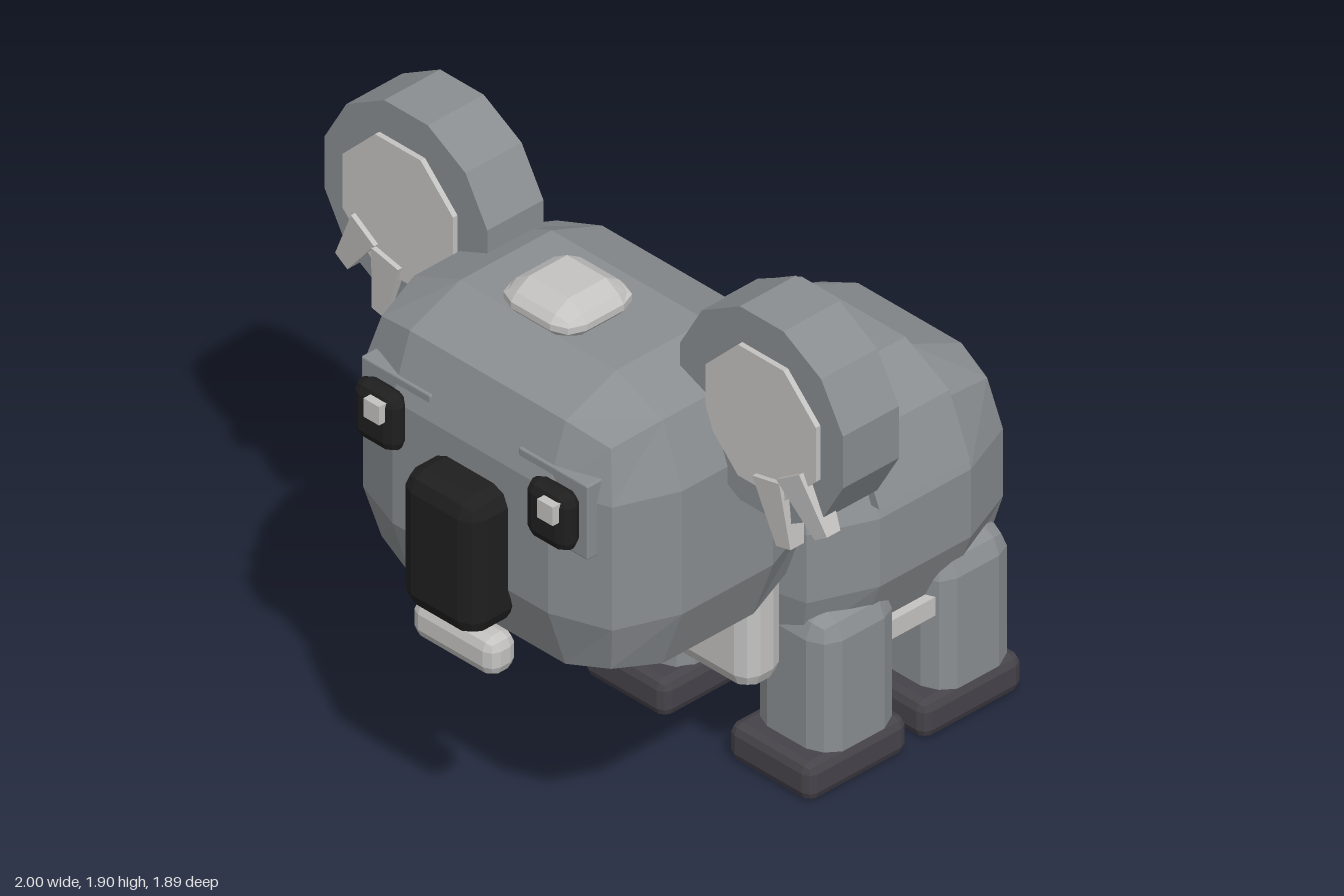
import * as THREE from 'three';

const mat = (name, color) => {
  const m = new THREE.MeshStandardMaterial({ color });
  m.name = name;
  return m;
};

// Faceted shading
function facet(geometry) {
  const g = geometry.index ? geometry.toNonIndexed() : geometry;
  g.computeVertexNormals();
  return g;
}

// Chamfered block: half sizes, half sizes of the flat faces, and inset of edges per axis
function blockGeometry(half, inner, inset) {
  const g = new THREE.BoxGeometry(2, 2, 2, 3, 3, 3);
  const p = g.attributes.position;
  for (let i = 0; i < p.count; i++) {
    const v = [p.getX(i), p.getY(i), p.getZ(i)];
    const outer = v.filter(c => Math.abs(c) > 0.9).length;
    const k = [0, 0, 1, 1.5][outer];
    const q = v.map((c, a) => Math.sign(c) * (Math.abs(c) > 0.9 ? half[a] - inset[a] * k : inner[a]));
    p.setXYZ(i, ...q);
  }
  return facet(g);
}

export function createModel() {
  const model = new THREE.Group();
  const fur = mat('grey fur', 0x8a8e91);
  const pale = mat('pale fur', 0xc4c3c2);
  const paw = mat('dark paw', 0x46434a);
  const black = mat('black', 0x1f1f1f);

  const add = (name, geometry, material, x = 0, y = 0, z = 0) => {
    const m = new THREE.Mesh(geometry, material);
    m.name = name;
    m.position.set(x, y, z);
    model.add(m);
    return m;
  };
  // Block from its minimum and maximum corners
  const block = (name, material, min, max, bevel, inner, inset) => {
    const half = min.map((v, a) => (max[a] - v) / 2);
    const mid = min.map((v, a) => (max[a] + v) / 2);
    const flat = inner || half.map(h => Math.max(h - bevel, h * 0.2));
    return add(name, blockGeometry(half, flat, inset || [0.3, 0.3, 0.3].map(f => f * bevel)), material, ...mid);
  };

  // Head and body
  block('head', fur, [-0.555, 0.69, -0.035], [0.555, 1.63, 0.815], 0, [0.3, 0.2, 0.17], [0.075, 0.075, 0.065]);
  block('body', fur, [-0.44, 0.3, -0.87], [0.44, 1.1, -0.055], 0, [0.2, 0.11, 0.17], [0.08, 0.09, 0.04]);

  // Saddle band over the back
  const arch = new THREE.Shape([[-0.45, 0.85], [0.45, 0.85], [0.37, 1.04], [0.2, 1.13], [-0.2, 1.13], [-0.37, 1.04]]
    .map(p => new THREE.Vector2(...p)));
  add('backBand', facet(new THREE.ExtrudeGeometry(arch, { depth: 0.34, bevelEnabled: false })), fur, 0, 0, -0.62);

  // Pale patches
  block('chestPatch', pale, [-0.3, 0.33, -0.08], [0.3, 0.85, 0.07], 0.05);
  block('bellyPatch', pale, [-0.4, 0.26, -0.76], [0.4, 0.52, -0.16], 0, [0.16, 0.03, 0.2], [0.04, 0.1, 0.04]);
  block('rumpPatch', pale, [-0.22, 0.4, -0.945], [0.22, 0.83, -0.78], 0, [0.15, 0.08, 0.04], [0.02, 0.02, 0.03]);
  block('headTuft', pale, [-0.145, 1.61, 0.31], [0.145, 1.735, 0.59], 0, [0.075, 0.01, 0.07], [0.02, 0.03, 0.02]);

  // Muzzle
  block('nose', black, [-0.145, 0.84, 0.75], [0.145, 1.28, 0.95], 0.055);
  block('chin', pale, [-0.16, 0.7, 0.785], [0.16, 0.82, 0.89], 0.035);

  for (const s of [-1, 1]) {
    const side = s > 0 ? 'left' : 'right';
    const span = (name, material, x0, x1, y0, y1, z0, z1, bevel) =>
      block(side + name, material, [Math.min(s * x0, s * x1), y0, z0], [Math.max(s * x0, s * x1), y1, z1], bevel);

    // Eye with its socket and glint
    span('EyeSocket', fur, 0.17, 0.437, 1.19, 1.43, 0.74, 0.8, 0.005);
    span('Eye', black, 0.25, 0.415, 1.215, 1.4, 0.79, 0.865, 0.035);
    const gx = s > 0 ? 0.36 : -0.31;
    add(side + 'EyeGlint', new THREE.BoxGeometry(0.06, 0.06, 0.03), pale, gx, 1.35, 0.87);

    // Ear disc and inner ear
    const disc = (r, n, d) => facet(new THREE.CylinderGeometry(r, r, d, n)
      .rotateY(Math.PI / n).rotateX(Math.PI / 2));
    add(side + 'Ear', disc(0.325, 12, 0.21), fur, s * 0.686, 1.59, 0.285);
    add(side + 'InnerEar', disc(0.23, 8, 0.03), pale, s * 0.7, 1.58, 0.392);

    // Hair tufts hanging from the ear: top x, y and tip x, y
    for (const [x0, y0, x1, y1] of [[0.82, 1.47, 0.925, 1.31], [0.735, 1.42, 0.78, 1.21]]) {
      const dir = new THREE.Vector3(s * (x0 - x1), y0 - y1, 0);
      const g = new THREE.CylinderGeometry(0.04, 0.075, dir.length(), 4).rotateY(Math.PI / 4).rotateX(Math.PI);
      g.scale(1, 1, 0.9);
      const tuft = add(side + 'EarTuft', facet(g), pale, s * (x0 + x1) / 2, (y0 + y1) / 2, 0.375);
      tuft.quaternion.setFromUnitVectors(new THREE.Vector3(0, 1, 0), dir.normalize());
    }

    // Legs and paws
    for (const [end, zl, zp] of [['Front', -0.24, -0.215], ['Back', -0.67, -0.645]]) {
      span(end + 'Leg', fur, 0.14, 0.43, 0.03, 0.54, zl - 0.148, zl + 0.148, 0.07);
      span(end + 'Paw', paw, 0.12, 0.44, 0, 0.12, zp - 0.187, zp + 0.187, 0.03);
    }
  }
  return model;
}
